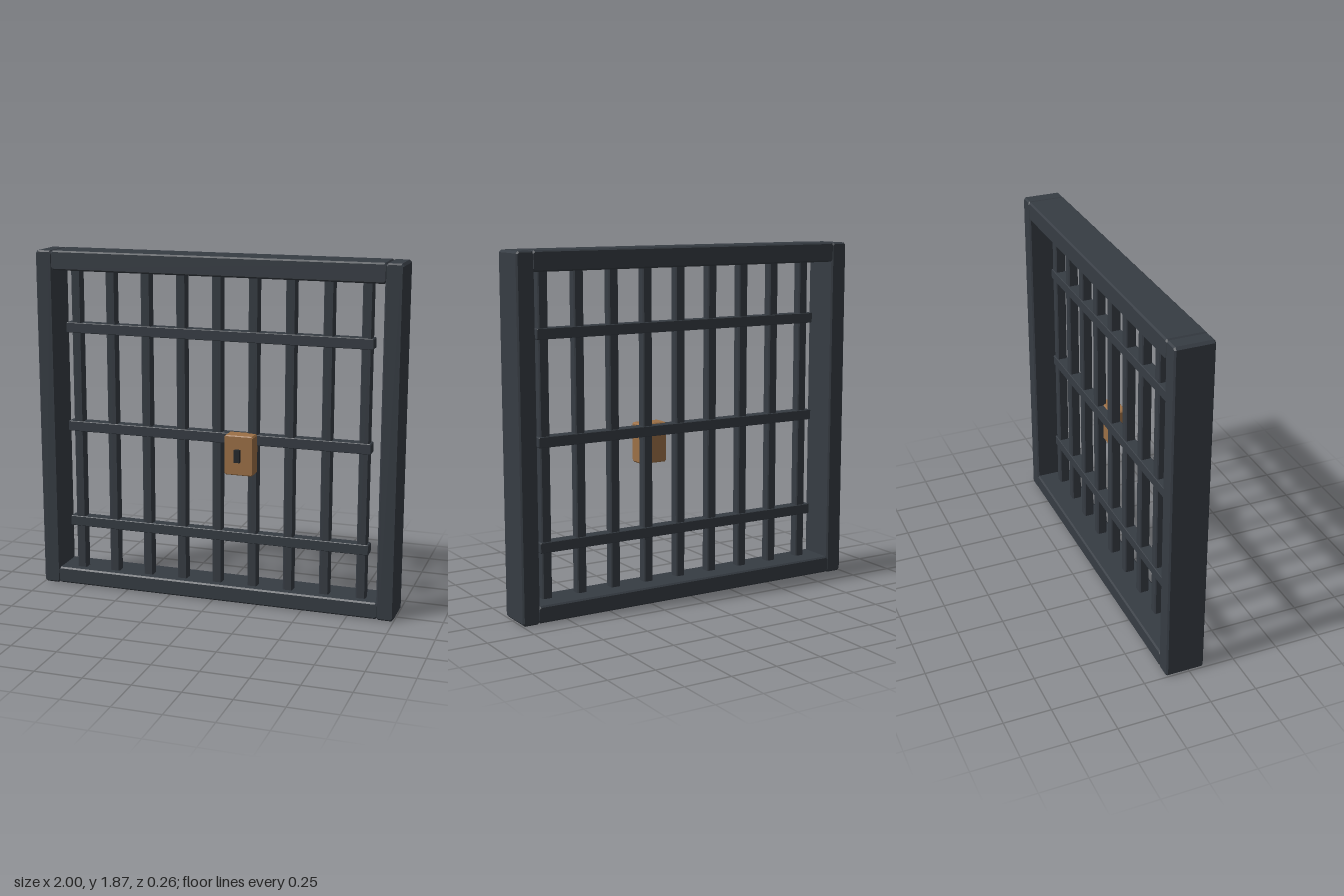
import * as THREE from 'three';

const mat = (name, color) => {
  const m = new THREE.MeshStandardMaterial({ color });
  m.name = name;
  return m;
};

// Box with small flat chamfers on every edge, given by its limits
function chamferBox([x0, x1], [y0, y1], [z0, z1], c) {
  const w = (x1 - x0) / 2 - c, h = (y1 - y0) / 2 - c;
  const s = new THREE.Shape([
    [w, -h + c], [w, h - c], [w - c, h], [-w + c, h],
    [-w, h - c], [-w, -h + c], [-w + c, -h], [w - c, -h],
  ].map(([x, y]) => new THREE.Vector2(x, y)));
  const g = new THREE.ExtrudeGeometry(s, {
    depth: z1 - z0 - 2 * c, bevelEnabled: true,
    bevelThickness: c, bevelSize: c, bevelSegments: 1,
  });
  return g.translate((x0 + x1) / 2, (y0 + y1) / 2, z0 + c);
}

export function createModel() {
  const iron = mat('dark iron', 0x363c43);
  const brass = mat('dull brass', 0x9c7046);
  const black = mat('keyhole black', 0x24282c);
  const root = new THREE.Group();
  root.name = 'barredGate';

  const add = (name, material, x, y, z, c) => {
    const m = new THREE.Mesh(chamferBox(x, y, z, c), material);
    m.name = name;
    root.add(m);
  };

  // Outer frame
  const depth = [-0.127, 0.079];
  add('rightPost', iron, [-1, -0.905], [0, 1.872], depth, 0.008);
  add('leftPost', iron, [0.905, 1], [0, 1.872], depth, 0.008);
  add('topRail', iron, [-0.915, 0.915], [1.768, 1.873], depth, 0.008);
  add('bottomRail', iron, [-0.915, 0.915], [0.003, 0.093], depth, 0.008);

  // Upright bars, set a little off centre
  for (let i = -4; i <= 4; i++) {
    const x = i * 0.2 + 0.011;
    add('uprightBar', iron, [x - 0.027, x + 0.027], [0.05, 1.82], [-0.022, 0.032], 0.006);
  }

  // Cross bars, slightly deeper than the uprights
  for (const y of [0.363, 0.908, 1.455]) {
    add('crossBar', iron, [-0.849, 0.849], [y - 0.028, y + 0.028], [-0.027, 0.037], 0.003);
  }

  // Lock box with keyhole plate
  add('lockBox', brass, [0.077, 0.236], [0.727, 0.942], [0.015, 0.105], 0.005);
  const keyhole = new THREE.Mesh(new THREE.BoxGeometry(0.031, 0.068, 0.02), black);
  keyhole.name = 'keyhole';
  keyhole.position.set(0.153, 0.836, 0.121);
  root.add(keyhole);

  return root;
}
